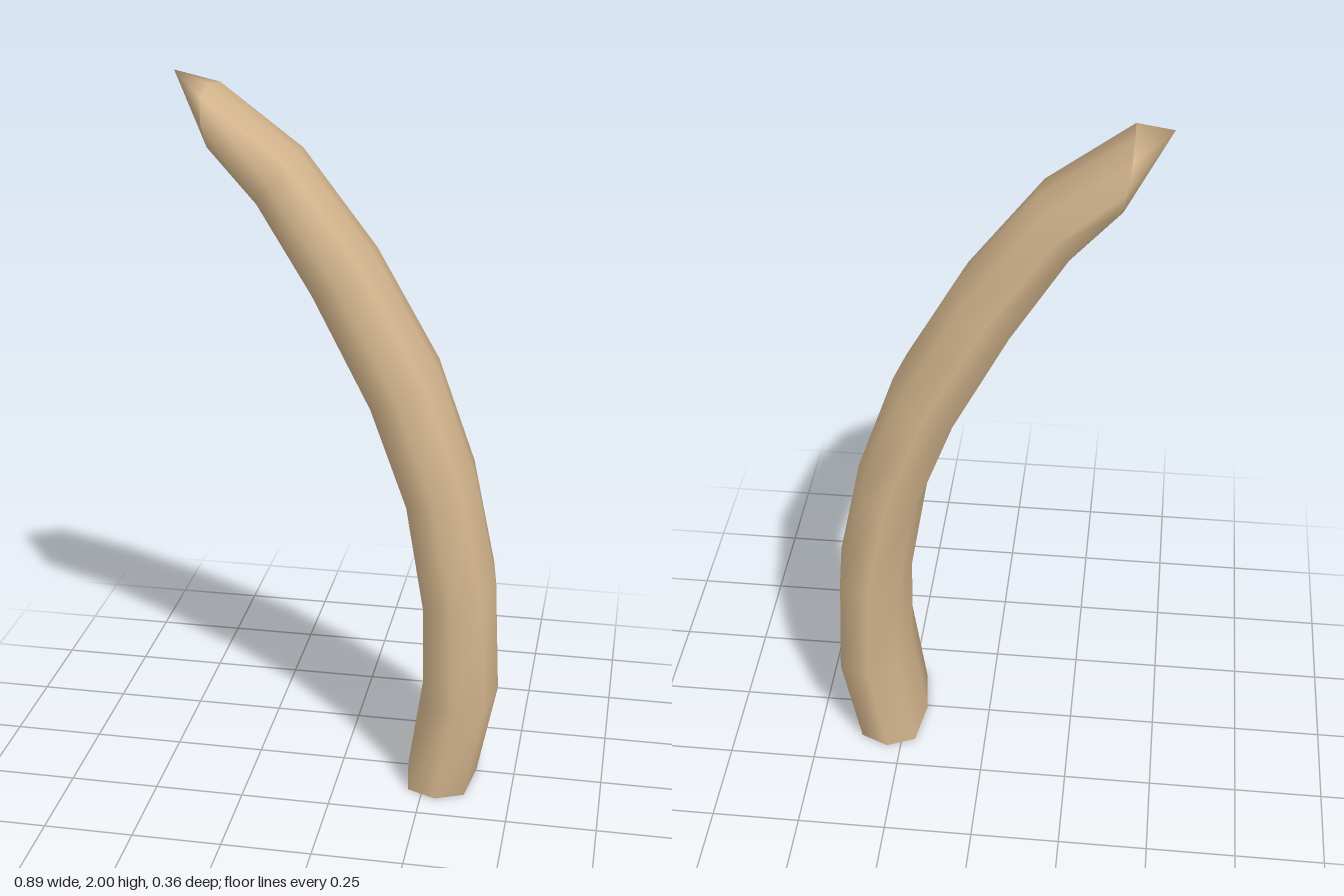
import * as THREE from 'three';

// Cross-sections: inner edge (x, y), outer edge (x, y), half depth, z offset
const SECTIONS = [
  [0.19, 0, 0.39, 0, 0.175, -0.005],
  [0.23, 0.28, 0.445, 0.28, 0.18, 0],
  [0.225, 0.57, 0.43, 0.61, 0.178, 0],
  [0.175, 0.87, 0.365, 0.92, 0.172, 0],
  [0.075, 1.14, 0.26, 1.22, 0.165, 0],
  [-0.08, 1.44, 0.085, 1.53, 0.154, 0],
  [-0.22, 1.67, -0.12, 1.80, 0.138, 0],
  [-0.335, 1.81, -0.355, 1.97, 0.138, 0],
];
const TIP = [-0.45, 2.0, -0.01];

// Eight points per ring: edge midpoints and rounded corners at 0.8
const RING = [[1, 0], [0.8, 0.8], [0, 1], [-0.8, 0.8], [-1, 0], [-0.8, -0.8], [0, -1], [0.8, -0.8]];
const N = RING.length;

const ringPoints = ([ix, iy, ox, oy, depth, z]) =>
  RING.map(([u, w]) => [
    (ix + ox) / 2 + (u * (ox - ix)) / 2,
    (iy + oy) / 2 + (u * (oy - iy)) / 2,
    z + w * depth,
  ]);

function meshFrom(name, points, index, material) {
  const geometry = new THREE.BufferGeometry();
  geometry.setAttribute('position', new THREE.Float32BufferAttribute(points.flat(), 3));
  geometry.setIndex(index);
  geometry.computeVertexNormals();
  const mesh = new THREE.Mesh(geometry, material);
  mesh.name = name;
  return mesh;
}

// Fan closing a ring to a point; upward selects the facing
function fan(name, ring, apex, upward, material) {
  const index = [];
  for (let i = 0; i < N; i++) {
    const j = (i + 1) % N;
    index.push(...(upward ? [i, N, j] : [N, i, j]));
  }
  return meshFrom(name, [...ring, apex], index, material);
}

export function createModel() {
  const ivory = new THREE.MeshStandardMaterial({ color: 0xd2b48c });
  ivory.name = 'tan ivory';
  const group = new THREE.Group();
  group.name = 'curvedTusk';

  // Curved tapering shaft with smooth sides
  const rings = SECTIONS.map(ringPoints);
  const index = [];
  for (let r = 0; r < rings.length - 1; r++) {
    for (let i = 0; i < N; i++) {
      const a = r * N + i;
      const b = r * N + ((i + 1) % N);
      index.push(a, a + N, b, b, a + N, b + N);
    }
  }
  group.add(meshFrom('shaft', rings.flat(), index, ivory));

  // Pointed end and flat base
  group.add(fan('tip', rings[rings.length - 1], TIP, true, ivory));
  group.add(fan('base', rings[0], [0.29, 0, 0], false, ivory));
  return group;
}
